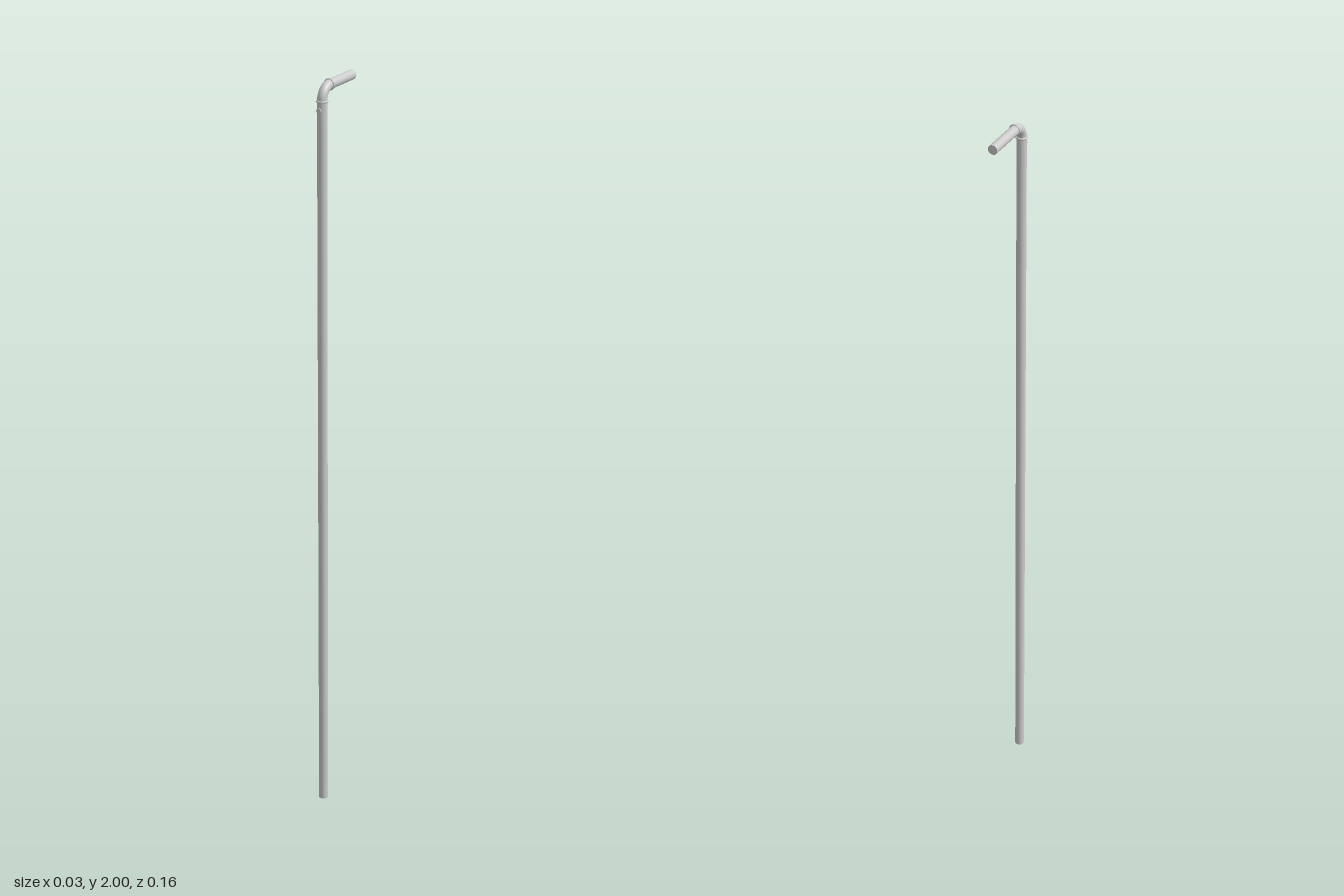
import * as THREE from 'three';

const R = 0.0125;      // pipe radius
const BEND = 0.034;    // elbow centreline radius
const Z = 0.0635;      // upright position
const TOP = 1.985;     // height of the arm's centreline
const BACK = -0.081;   // open end of the arm

export function createModel() {
  const group = new THREE.Group();
  const material = new THREE.MeshStandardMaterial({ color: 0xcccccc });
  const add = (name, geometry, x, y, z, rx = 0) => {
    const mesh = new THREE.Mesh(geometry, material);
    mesh.name = name;
    mesh.position.set(x, y, z);
    mesh.rotation.x = rx;
    group.add(mesh);
    return mesh;
  };
  const bendY = TOP - BEND;
  const bendZ = Z - BEND;

  // Long upright and short arm running to the back
  add('uprightPipe', new THREE.CylinderGeometry(R, R, bendY, 32), 0, bendY / 2, Z);
  const armLength = bendZ - BACK;
  add('armPipe', new THREE.CylinderGeometry(R, R, armLength, 32), 0, TOP, BACK + armLength / 2, Math.PI / 2);

  // Quarter-turn elbow joining them
  const elbow = add('elbow', new THREE.TorusGeometry(BEND, R, 24, 20, Math.PI / 2), 0, bendY, bendZ);
  elbow.rotation.y = -Math.PI / 2;

  // Raised joint rings at both ends of the elbow
  const ring = new THREE.TorusGeometry(0.0128, 0.0027, 10, 32);
  add('lowerJointRing', ring, 0, bendY, Z, Math.PI / 2);
  add('upperJointRing', ring, 0, TOP, bendZ);

  // Small fastener on the front, just below the elbow
  add('fastenerStem', new THREE.CylinderGeometry(0.003, 0.003, 0.008, 16), 0, 1.93, 0.075, Math.PI / 2);
  add('fastenerHead', new THREE.CylinderGeometry(0.0065, 0.0065, 0.003, 20), 0, 1.93, 0.0795, Math.PI / 2);

  return group;
}
